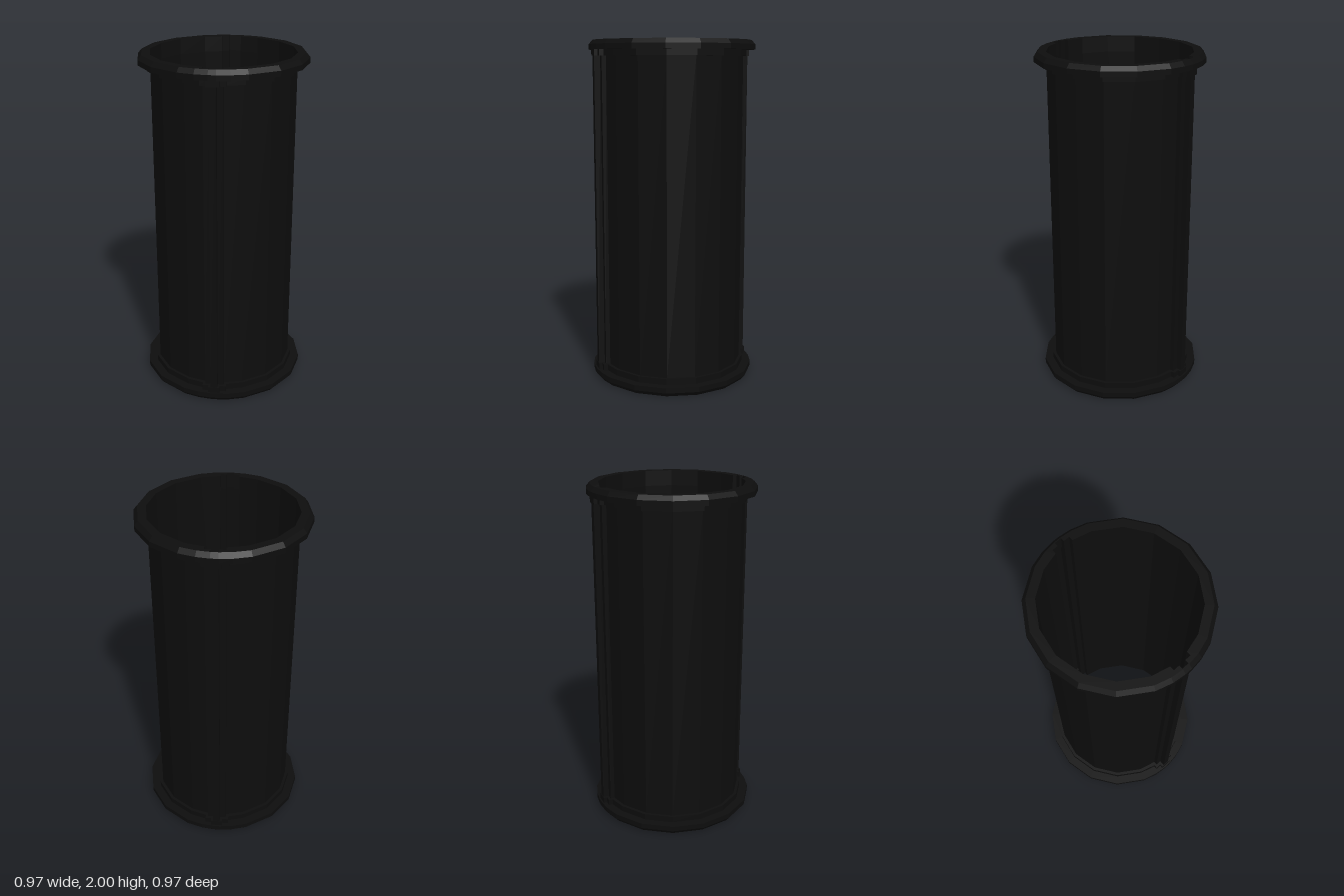
import * as THREE from 'three';

const HEIGHT = 2;
const FLANGE = 0.09; // height of each end flange including its collar

// Complete a front-to-side quarter outline (ending on the x axis) into a full loop.
function mirrorLoop(quarter) {
  const back = quarter.slice(0, -1).reverse().map(([x, z]) => [x, -z]);
  const half = [...quarter, ...back];
  return [...half, ...half.filter(([x, z]) => Math.abs(z) > 1e-6 || x < 0)
    .reverse().map(([x, z]) => [-x, z]), [-quarter.at(-1)[0], 0]]
    .sort((a, b) => 0);
}

const polar = (r, deg) => {
  const a = THREE.MathUtils.degToRad(deg);
  return [r * Math.sin(a), r * Math.cos(a)];
};

// Build a loop whose points run from the front, past the right, and round.
function fullLoop(quarter) {
  const back = quarter.slice(0, -1).reverse().map(([x, z]) => [x, -z]);
  const half = [...quarter, ...back];
  return [...half, ...[...half].reverse().map(([x, z]) => [-x, z])];
}

// Faceted round outline with extra corners near the front and back.
const roundLoop = (r) =>
  fullLoop([2.5, 2.5, 11.25, 11.25, 22.5, 45, 67.5, 90].map((d) => polar(r, d)));

// Faceted outline with a stepped rib at the front and back.
const ribbedLoop = (r, ribX, ribZ, stepX, stepZ) => fullLoop([
  [ribX, ribZ], [ribX, stepZ], [stepX, stepZ], [stepX, r * 0.99],
  ...[22.5, 45, 67.5, 90].map((d) => polar(r, d)),
]);

// Join a series of [loop, y] sections with flat-shaded strips.
function loft(sections) {
  const pos = [];
  for (let s = 0; s < sections.length - 1; s++) {
    const [lower, y0] = sections[s];
    const [upper, y1] = sections[s + 1];
    for (let i = 0; i < lower.length; i++) {
      const j = (i + 1) % lower.length;
      const a = [lower[i][0], y0, lower[i][1]];
      const b = [lower[j][0], y0, lower[j][1]];
      const c = [upper[j][0], y1, upper[j][1]];
      const d = [upper[i][0], y1, upper[i][1]];
      pos.push(...a, ...b, ...c, ...a, ...c, ...d);
    }
  }
  const geometry = new THREE.BufferGeometry();
  geometry.setAttribute('position', new THREE.Float32BufferAttribute(pos, 3));
  geometry.computeVertexNormals();
  return geometry;
}

export function createModel() {
  const group = new THREE.Group();
  group.name = 'flangedTube';
  const black = new THREE.MeshStandardMaterial({ color: 0x0d0d0d, side: THREE.DoubleSide });
  black.name = 'black';

  const add = (name, geometry) => {
    const mesh = new THREE.Mesh(geometry, black);
    mesh.name = name;
    group.add(mesh);
  };

  // Thin tube wall with its front and back ribs
  const wall = ribbedLoop(0.414, 0.02, 0.47, 0.055, 0.435);
  add('tubeWall', loft([[wall, FLANGE], [wall, HEIGHT - FLANGE]]));

  // Flange section: bore, chamfered rim, then a collar hugging the ribbed wall
  const bore = ribbedLoop(0.414, 0.02, 0.457, 0.055, 0.435);
  const collar = ribbedLoop(0.432, 0.035, 0.473, 0.07, 0.452);
  const section = [
    [bore, FLANGE], [bore, 0],
    [roundLoop(0.462), 0], [roundLoop(0.483), 0.025], [roundLoop(0.483), 0.055],
    [collar, 0.055], [collar, FLANGE], [bore, FLANGE],
  ];
  add('bottomFlange', loft(section));
  add('topFlange', loft(section.map(([loop, y]) => [loop, HEIGHT - y]).reverse()));

  return group;
}
